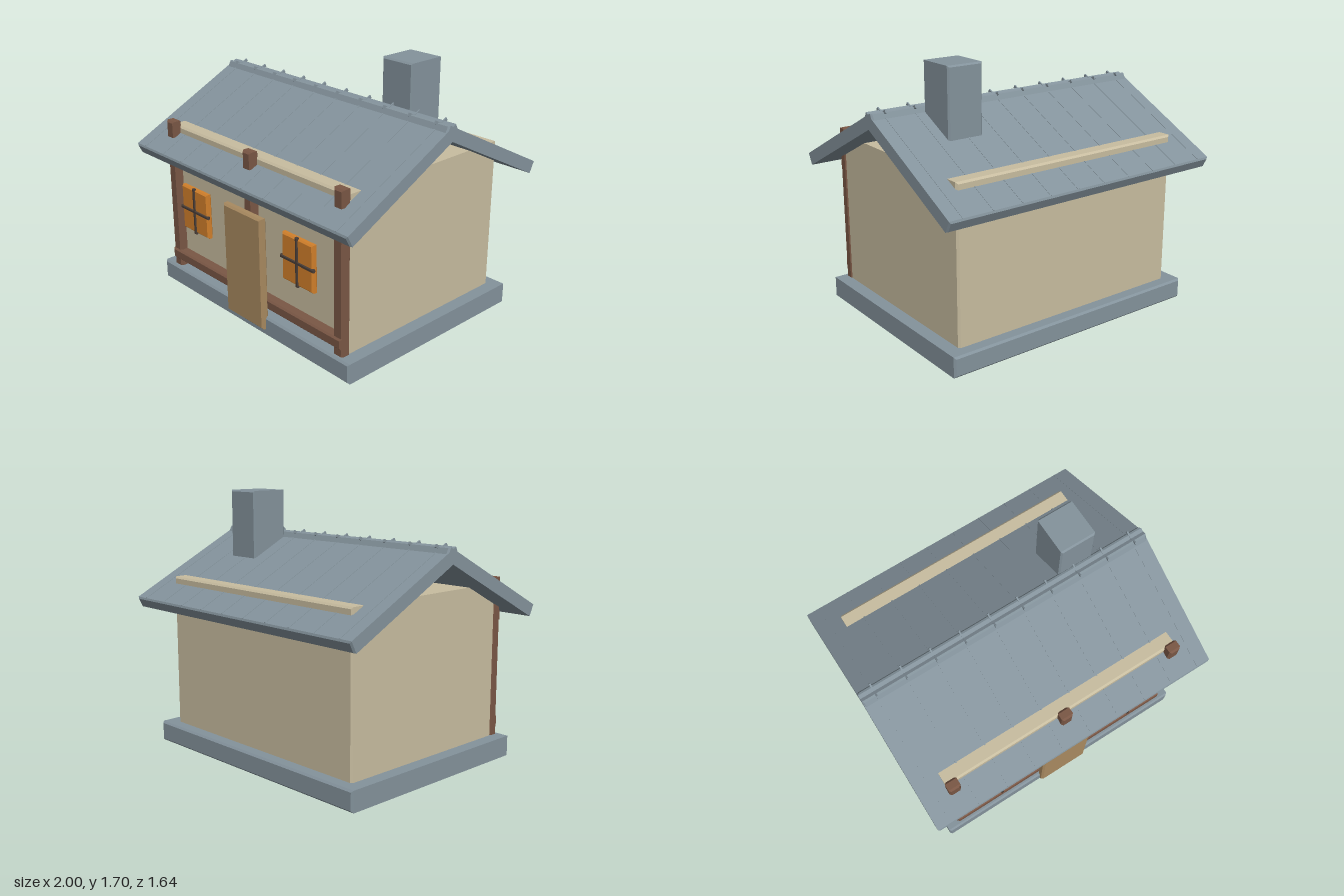
import * as THREE from 'three';

const mat = (name, color) => {
  const m = new THREE.MeshStandardMaterial({ color });
  m.name = name;
  return m;
};

// Box with chamfered edges, centred on its origin
function chamferBox(w, h, d, b) {
  const x = w / 2 - b, y = h / 2 - b;
  const s = new THREE.Shape();
  s.moveTo(-x, -y);
  s.lineTo(x, -y);
  s.lineTo(x, y);
  s.lineTo(-x, y);
  s.closePath();
  const g = new THREE.ExtrudeGeometry(s, {
    depth: d - 2 * b, bevelEnabled: true, bevelThickness: b, bevelSize: b, bevelSegments: 1,
  });
  g.translate(0, 0, -(d / 2 - b));
  return g;
}

export function createModel() {
  const house = new THREE.Group();
  house.name = 'cottage';
  const slate = mat('slate', 0x84939c);
  const plaster = mat('plaster', 0xc8bda0);
  const timber = mat('darkTimber', 0x7a5745);
  const plank = mat('doorWood', 0xa98a60);
  const amber = mat('amberGlass', 0xd2802b);
  const iron = mat('windowBars', 0x4a3e38);

  // Adds a box given by its min and max on each axis
  const block = (name, m, [x0, x1], [y0, y1], [z0, z1], bevel = 0.01) => {
    const mesh = new THREE.Mesh(chamferBox(x1 - x0, y1 - y0, z1 - z0, bevel), m);
    mesh.position.set((x0 + x1) / 2, (y0 + y1) / 2, (z0 + z1) / 2);
    mesh.name = name;
    house.add(mesh);
    return mesh;
  };

  // Foundation, walls and chimney
  block('foundation', slate, [-0.915, 0.915], [0, 0.132], [-0.72, 0.72], 0.012);
  block('walls', plaster, [-0.83, 0.83], [0.1, 1.13], [-0.64, 0.64], 0.012);
  block('chimney', slate, [0.405, 0.645], [1.0, 1.695], [-0.3, -0.04]);

  // Timber frame on the front
  for (const x of [-0.795, 0, 0.795]) {
    block('post', timber, [x - 0.04, x + 0.04], [0.12, 1.168], [0.627, 0.693], 0.012);
  }
  block('lowerRail', timber, [-0.83, 0.83], [0.18, 0.25], [0.63, 0.705]);
  block('upperRail', timber, [-0.83, 0.83], [0.89, 0.95], [0.63, 0.705]);

  // Door
  block('door', plank, [-0.18, 0.18], [0.05, 0.797], [0.693, 0.746], 0.012);

  // Windows with crossed bars
  for (const x of [-0.5, 0.5]) {
    block('windowPane', amber, [x - 0.135, x + 0.135], [0.48, 0.785], [0.695, 0.736]);
    block('verticalBar', iron, [x - 0.01, x + 0.01], [0.473, 0.792], [0.722, 0.744], 0.004);
    block('horizontalBar', iron, [x - 0.146, x + 0.146], [0.62, 0.64], [0.722, 0.744], 0.004);
  }

  // Roof slopes crossing at the ridge, each with sunken seams
  const pitch = 0.47;
  for (const [name, turn] of [['frontRoof', 0], ['backRoof', Math.PI]]) {
    const side = new THREE.Group();
    side.name = name;
    side.rotation.y = turn;
    const slope = new THREE.Group();
    slope.position.set(0, 1.172, 0.379);
    slope.rotation.x = pitch;
    const slab = new THREE.Mesh(chamferBox(2, 0.08, 0.96, 0.01), slate);
    slab.name = 'roofSlab';
    slope.add(slab);
    for (let i = 0; i < 10; i++) {
      const seam = new THREE.Mesh(new THREE.BoxGeometry(0.01, 0.02, 0.965), slate);
      seam.position.set((i - 4.5) * 0.202, 0.032, -0.0135);
      seam.name = 'roofSeam';
      slope.add(seam);
    }
    side.add(slope);
    house.add(side);
  }
  return house;
}
